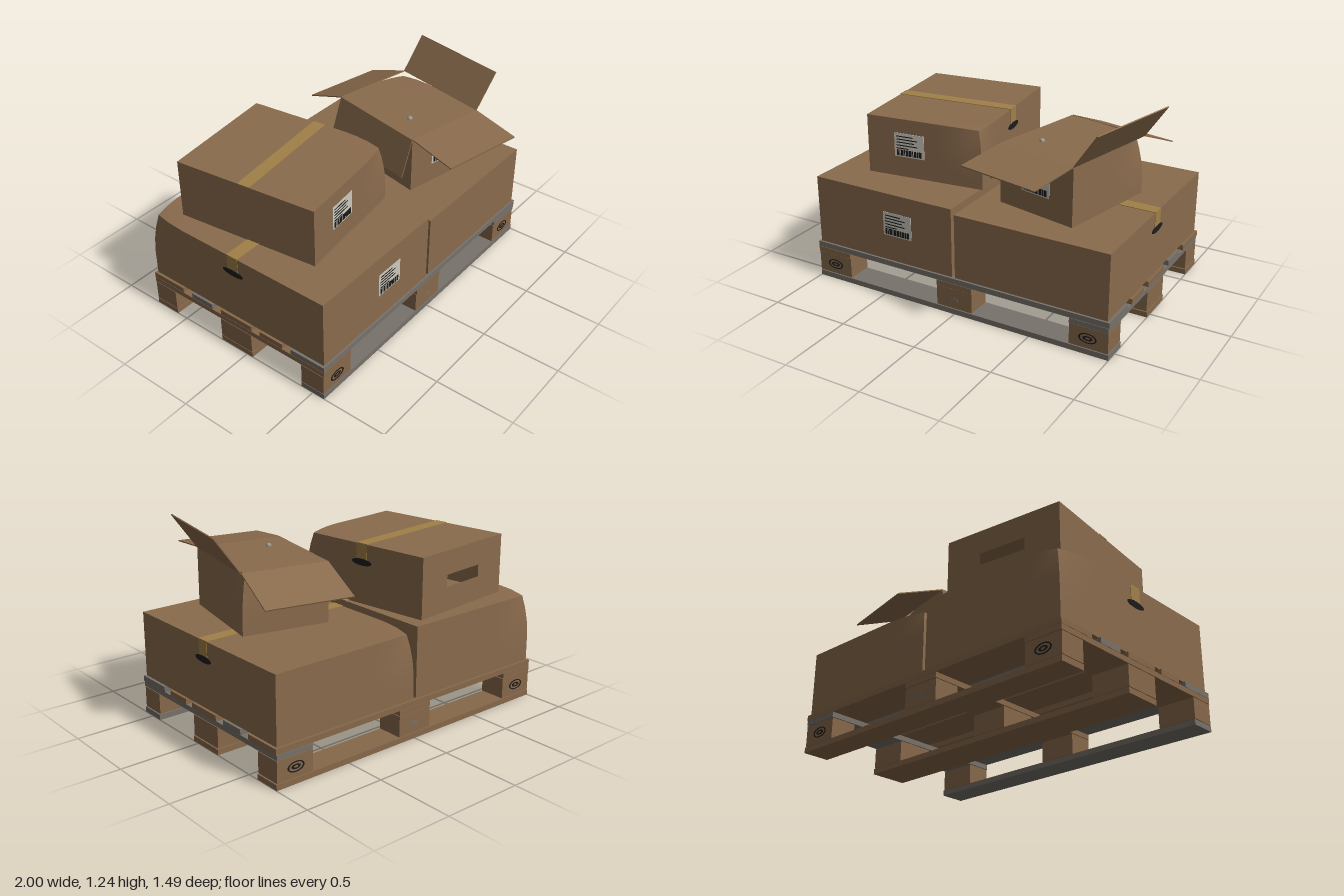
import * as THREE from 'three';

const mat = (name, color, side = THREE.FrontSide) => {
  const m = new THREE.MeshStandardMaterial({ color, side });
  m.name = name;
  return m;
};

export function createModel() {
  const card = mat('cardboard', 0x8a6b4d, THREE.DoubleSide);
  const wood = mat('brown wood', 0x86684a);
  const greyWood = mat('grey wood', 0x77726a);
  const tape = mat('packing tape', 0xa08048);
  const paper = mat('label paper', 0xccc8bc);
  const black = mat('black', 0x1c1c1c);
  const metal = mat('metal', 0x9a9a98);

  const root = new THREE.Group();
  root.name = 'loadedPallet';

  const add = (parent, name, geo, material, x = 0, y = 0, z = 0) => {
    const m = new THREE.Mesh(geo, material);
    m.name = name;
    m.position.set(x, y, z);
    parent.add(m);
    return m;
  };
  const box = (parent, name, material, w, h, d, x, y, z) =>
    add(parent, name, new THREE.BoxGeometry(w, h, d), material, x, y, z);
  const group = (parent, name, x = 0, y = 0, z = 0, yaw = 0) => {
    const g = new THREE.Group();
    g.name = name;
    g.position.set(x, y, z);
    g.rotation.y = yaw;
    parent.add(g);
    return g;
  };

  // Pallet: runners, blocks, cross boards and deck boards
  const pallet = group(root, 'pallet');
  const rows = [[0.5, 0.165, greyWood], [-0.078, 0.245, wood], [-0.66, 0.17, wood]];
  const columns = [[-0.88, wood], [0, wood], [0.875, greyWood]];
  for (const [z, d, m] of rows) {
    box(pallet, 'runner', m, 2, 0.034, d, 0, 0.017, z);
    for (const [x] of columns) box(pallet, 'block', wood, 0.24, 0.128, d - 0.005, x, 0.102, z);
  }
  for (const [x, m] of columns) box(pallet, 'crossBoard', m, 0.24, 0.032, 1.33, x, 0.186, -0.08);
  const deck = [[0.465, 0.24, greyWood], [0.197, 0.17, wood], [-0.072, 0.24, wood],
    [-0.344, 0.165, greyWood], [-0.622, 0.245, wood]];
  for (const [z, d, m] of deck) box(pallet, 'deckBoard', m, 2, 0.034, d, 0, 0.221, z);

  // Oval stamps on the corner blocks, and small plates on the middle ones
  const oval = (rx, ry, inner) => {
    const s = new THREE.Shape().absellipse(0, 0, rx, ry, 0, Math.PI * 2);
    if (inner) s.holes.push(new THREE.Path().absellipse(0, 0, rx * inner, ry * inner, 0, Math.PI * 2));
    return new THREE.ExtrudeGeometry(s, { depth: 0.003, bevelEnabled: false, curveSegments: 24 });
  };
  for (const [z, yaw] of [[0.58, 0], [-0.7425, Math.PI]]) {
    for (const x of [-0.88, 0.87]) {
      const stamp = group(pallet, 'stamp', x, 0.102, z, yaw);
      add(stamp, 'stampRing', oval(0.056, 0.031, 0.83), black);
      add(stamp, 'stampMark', oval(0.03, 0.014, 0.55), black);
    }
    box(pallet, 'blockPlate', greyWood, 0.045, 0.022, 0.004, 0, 0.095, z);
  }

  // Carton: a box with one crushed upper corner and an optional hand hole in the back
  const carton = (name, w, h, d, x, y, z, yaw, dent, handHole) => {
    const g = group(root, name, x, y, z, yaw);
    const geo = new THREE.BoxGeometry(w, h, d, 10, 5, 10);
    const p = geo.attributes.position;
    if (handHole) {
      const keep = [];
      const idx = geo.index.array;
      for (let i = 0; i < idx.length; i += 3) {
        const t = [idx[i], idx[i + 1], idx[i + 2]];
        const inHole = t.every((v) => p.getZ(v) < -d / 2 + 1e-4 &&
          Math.abs(p.getX(v)) < w * 0.201 && Math.abs(p.getY(v)) < h * 0.101);
        if (!inHole) keep.push(...t);
      }
      geo.setIndex(keep);
      geo.clearGroups();
    }
    const [sx, sz] = dent;
    const corner = new THREE.Vector3((sx * w) / 2, h / 2, (sz * d) / 2);
    const v = new THREE.Vector3();
    for (let i = 0; i < p.count; i++) {
      v.fromBufferAttribute(p, i);
      const k = Math.max(0, 1 - v.distanceTo(corner) / 0.3) ** 2;
      p.setXYZ(i, v.x - sx * 0.035 * k, v.y - 0.012 * k, v.z - sz * 0.03 * k);
    }
    geo.translate(0, h / 2, 0);
    geo.computeVertexNormals();
    add(g, 'carton', geo, card);
    return g;
  };

  // Shipping label: paper, lines and bars
  const label = (parent, x, y, z) => {
    const g = group(parent, 'label', x, y, z);
    box(g, 'labelPaper', paper, 0.2, 0.15, 0.004, 0, 0, 0);
    [0.11, 0.14, 0.12, 0.14, 0.08].forEach((w, i) =>
      box(g, 'labelLine', black, w, 0.006, 0.003, -0.085 + w / 2, 0.055 - i * 0.019, 0.002));
    let bx = -0.085;
    for (const w of [0.012, 0.005, 0.018, 0.006, 0.014, 0.02, 0.006, 0.016, 0.01, 0.016]) {
      box(g, 'labelBar', black, w, 0.038, 0.003, bx + w / 2, -0.049, 0.002);
      bx += w + 0.005;
    }
  };

  // Tape across the top, with a tail and an oval grip on the chosen sides
  const seal = (parent, w, h, z, sides) => {
    box(parent, 'topTape', tape, w + 0.004, 0.005, 0.08, 0, h + 0.001, z);
    for (const s of sides) {
      box(parent, 'tapeTail', tape, 0.005, 0.1, 0.08, (s * w) / 2, h - 0.05, z);
      const grip = group(parent, 'grip', (s * w) / 2, h - 0.112, z, (s * Math.PI) / 2);
      add(grip, 'gripOval', oval(0.076, 0.021), black);
    }
  };

  // Two large cartons on the deck
  const leftBig = carton('largeCartonTall', 0.97, 0.435, 1.305, -0.5, 0.24, -0.078, 0, [-1, -1]);
  label(leftBig, 0.105, 0.24, 0.653);
  seal(leftBig, 0.97, 0.435, 0, [-1]);
  const rightBig = carton('largeCartonLow', 0.98, 0.405, 1.305, 0.495, 0.24, -0.078, 0, [-1, -1]);
  seal(rightBig, 0.98, 0.405, 0.01, [1]);

  // Closed carton, turned slightly
  const closed = carton('closedCarton', 0.765, 0.37, 0.92, -0.435, 0.675, -0.165, 0.118, [1, 1], true);
  label(closed, -0.1, 0.205, 0.461);
  seal(closed, 0.765, 0.37, 0, [1]);

  // Open carton with four folded-out flaps
  const open = carton('openCarton', 0.53, 0.36, 0.655, 0.49, 0.665, 0.052, -0.209, [1, -1]);
  label(open, 0, 0.2, 0.329);
  const flaps = [
    ['frontFlap', 0, 0.327, 0.53, 0.325, 0.12],
    ['backFlap', Math.PI, 0.327, 0.53, 0.33, 0.38],
    ['rightFlap', -Math.PI / 2, 0.265, 0.655, 0.247, 1.26],
    ['leftFlap', Math.PI / 2, 0.265, 0.655, 0.26, -0.95],
  ];
  for (const [name, yaw, out, w, len, pitch] of flaps) {
    const hinge = group(open, name, Math.sin(yaw) * out, 0.36, Math.cos(yaw) * out, yaw);
    const geo = new THREE.BoxGeometry(w, 0.007, len).translate(0, 0, len / 2);
    add(hinge, name, geo, card).rotation.x = pitch;
  }
  // Small stud on top of the open carton
  add(root, 'stud', new THREE.SphereGeometry(0.016, 16, 10), metal, 0.35, 1.027, 0.165);

  return root;
}
